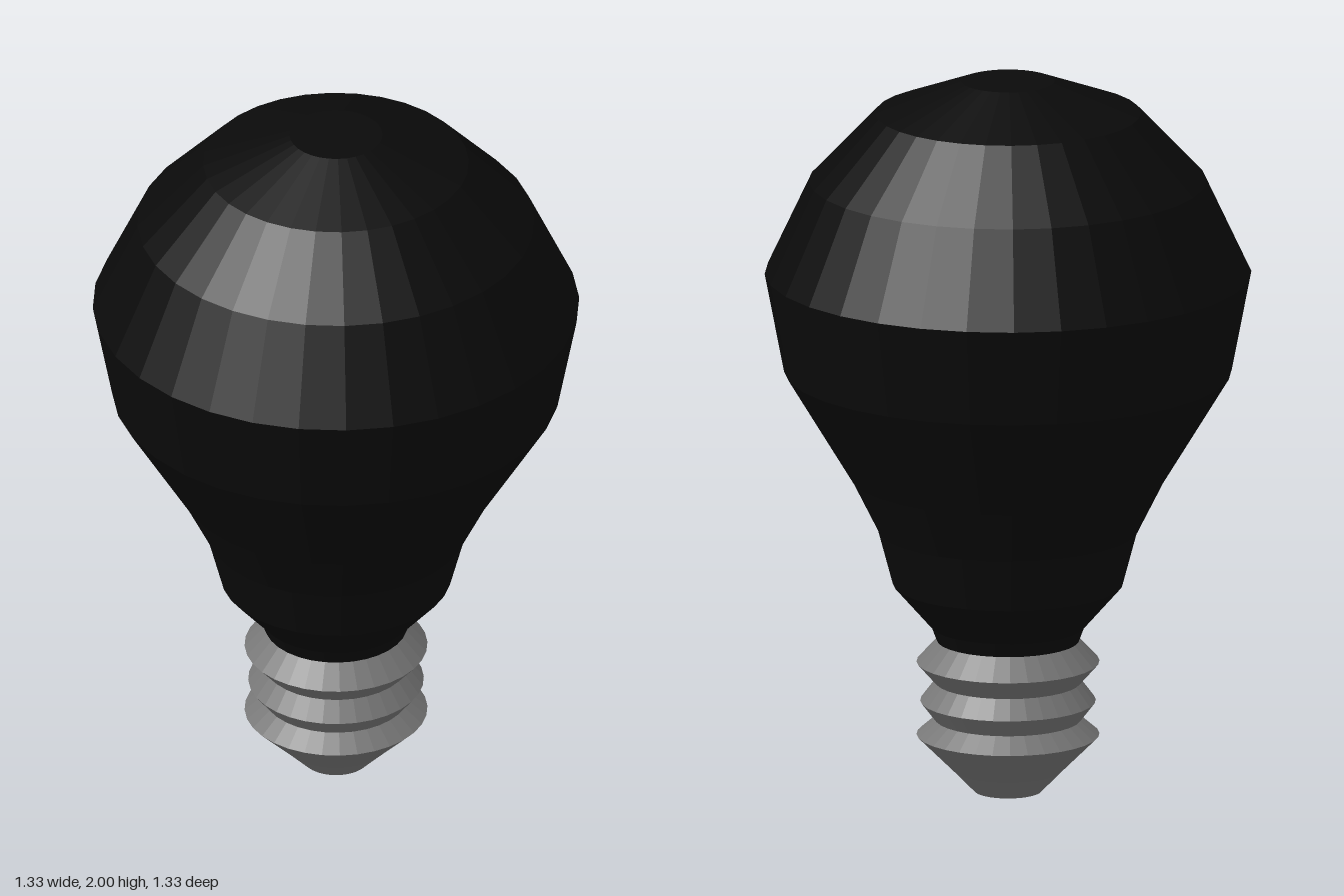
import * as THREE from 'three';

const SIDES = 32;

// Revolves a [radius, height] profile, listed from bottom to top, into a faceted part.
function turned(name, profile, color) {
  const points = profile.map(([r, y]) => new THREE.Vector2(r, y));
  const material = new THREE.MeshStandardMaterial({ color, flatShading: true });
  const mesh = new THREE.Mesh(new THREE.LatheGeometry(points, SIDES), material);
  mesh.name = name;
  return mesh;
}

export function createModel() {
  const group = new THREE.Group();
  group.name = 'lightBulb';

  // Bulb: narrow neck, shoulder, wide belly and flat-topped dome
  group.add(turned('bulb', [
    [0.195, 0.425], [0.21, 0.465], [0.315, 0.585], [0.355, 0.735],
    [0.43, 0.885], [0.612, 1.185], [0.665, 1.46], [0.543, 1.72],
    [0.363, 1.91], [0.127, 2], [0, 2],
  ], 0x0a0a0a));

  // Screw base: tapered contact end, three thread ridges and a closed top
  group.add(turned('screwBase', [
    [0, 0], [0.092, 0], [0.15, 0.06], [0.25, 0.16],
    [0.2, 0.203], [0.24, 0.255], [0.2, 0.308],
    [0.25, 0.365], [0.195, 0.425], [0, 0.425],
  ], 0x777777));

  return group;
}
